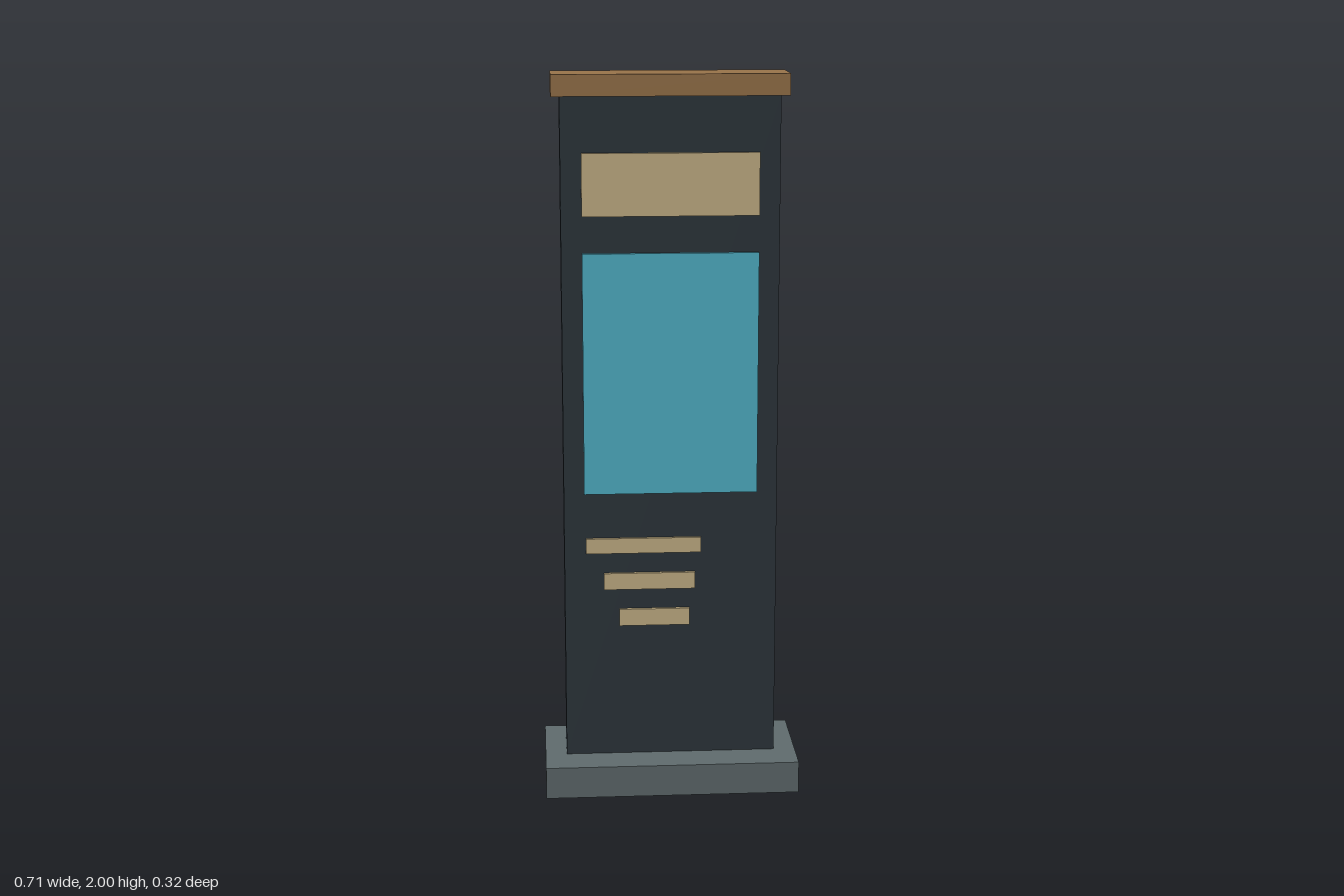
import * as THREE from 'three';

const material = (name, color) => {
  const m = new THREE.MeshStandardMaterial({ color });
  m.name = name;
  return m;
};

export function createModel() {
  const group = new THREE.Group();
  group.name = 'informationKiosk';

  const slate = material('dark slate', 0x2d363c);
  const stone = material('grey stone', 0x5f6b6d);
  const wood = material('brown wood', 0x98734a);
  const sand = material('sand', 0xc8b488);
  const cyan = material('cyan screen', 0x52b5cb);

  // Box given by its x and y extents, depth and centre in z
  const box = (name, mat, [x0, x1], [y0, y1], depth, z = 0) => {
    const mesh = new THREE.Mesh(new THREE.BoxGeometry(x1 - x0, y1 - y0, depth), mat);
    mesh.position.set((x0 + x1) / 2, (y0 + y1) / 2, z);
    mesh.name = name;
    group.add(mesh);
  };

  // Foot, upright slab and overhanging cap
  box('base', stone, [-0.355, 0.355], [0, 0.09], 0.324);
  box('slab', slate, [-0.295, 0.295], [0.09, 1.942], 0.117);
  box('cap', wood, [-0.318, 0.318], [1.942, 2], 0.147);

  // Thin plates, repeated on the front and back faces
  const plates = [
    ['header', sand, [-0.239, 0.239], [1.623, 1.792]],
    ['screen', cyan, [-0.239, 0.239], [0.855, 1.523]],
    ['textBarTop', sand, [-0.235, 0.084], [0.684, 0.727]],
    ['textBarMiddle', sand, [-0.186, 0.068], [0.579, 0.626]],
    ['textBarBottom', sand, [-0.144, 0.053], [0.473, 0.521]],
  ];
  for (const [side, sign] of [['Front', 1], ['Back', -1]]) {
    for (const [name, mat, xs, ys] of plates) {
      box(name + side, mat, xs, ys, 0.0095, sign * 0.06325);
    }
  }

  return group;
}
